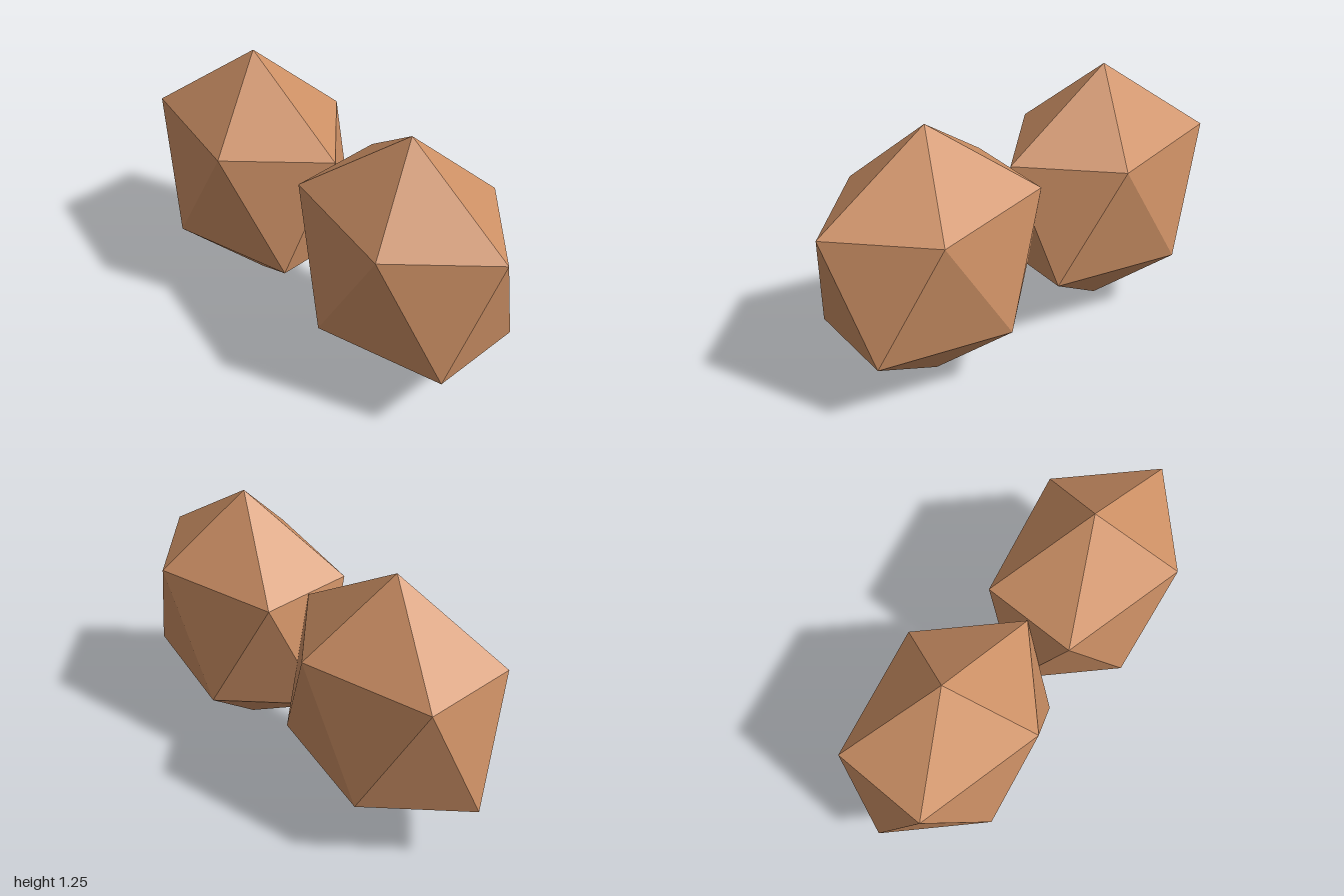
import * as THREE from 'three';
import { ConvexGeometry } from 'three/addons/geometries/ConvexGeometry.js';

// One flattened twenty-sided gem: two poles and two staggered rings of five
function gemGeometry() {
  const height = 1.245, ringX = 0.5235, ringZ = 0.3755;
  const points = [new THREE.Vector3(0, 0, 0), new THREE.Vector3(0, height, 0)];
  for (let i = 0; i < 5; i++) {
    const a = (i / 5) * Math.PI * 2;
    const x = Math.cos(a) * ringX, z = Math.sin(a) * ringZ;
    points.push(new THREE.Vector3(x, 0.901, z)); // upper ring
    points.push(new THREE.Vector3(-x, 0.344, z)); // lower ring, turned half a step
  }
  return new ConvexGeometry(points);
}

export function createModel() {
  const group = new THREE.Group();
  group.name = 'gemPair';
  const material = new THREE.MeshStandardMaterial({ color: 0xcd9065, flatShading: true });
  const geometry = gemGeometry();

  // Two identical gems side by side, almost touching
  for (const [name, x] of [['leftGem', 0.4765], ['rightGem', -0.4765]]) {
    const gem = new THREE.Mesh(geometry, material);
    gem.name = name;
    gem.position.x = x;
    group.add(gem);
  }
  return group;
}
